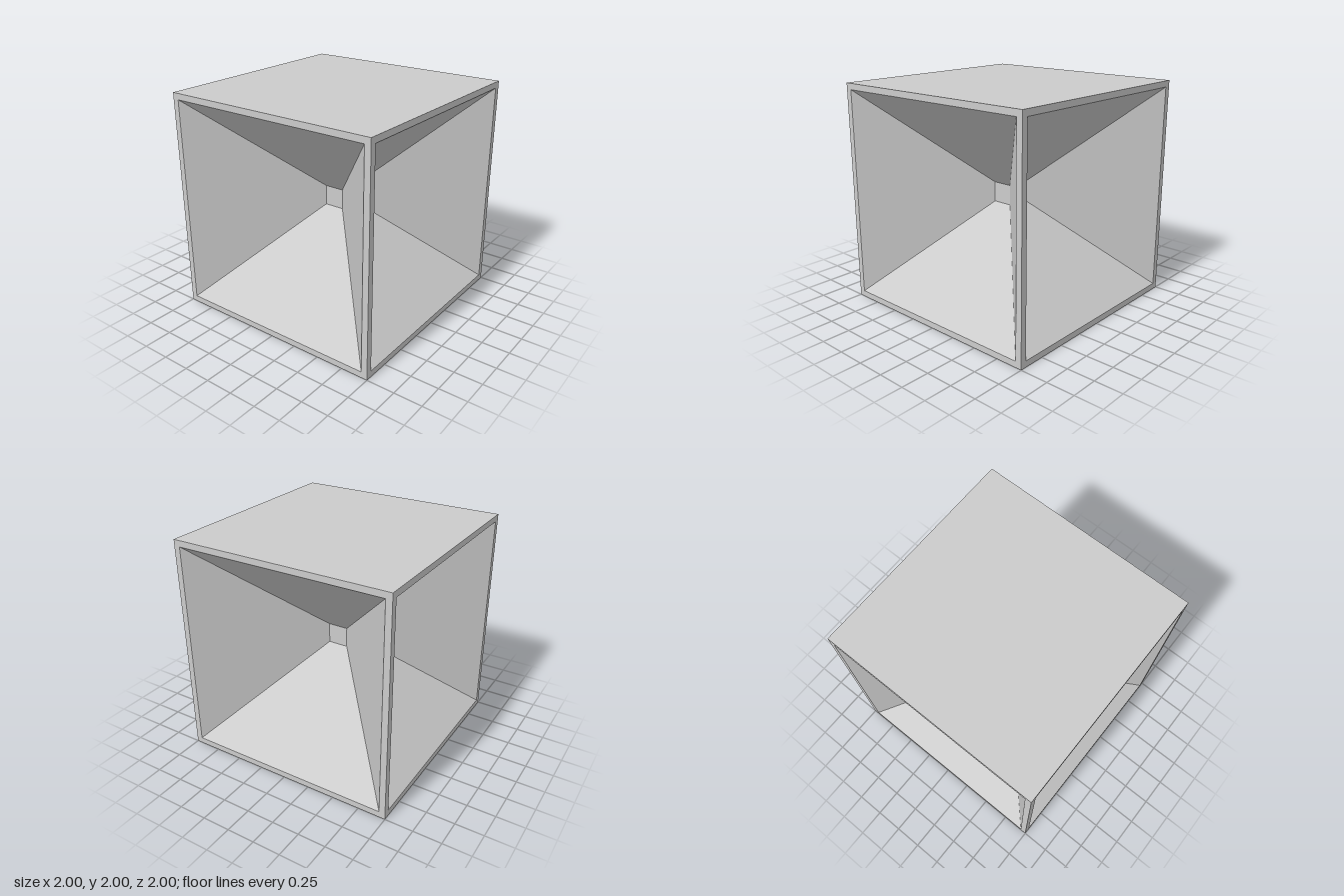
import * as THREE from 'three';

const HALF = 1;        // half the cube's side
const RIM = 0.945;     // half width of each recess opening
const FLOOR = 0.091;   // half width of the small floor of a recess
const FLOOR_Z = 0.104; // distance of that floor from the cube's centre

export function createModel() {
  const group = new THREE.Group();
  group.name = 'hollowedCube';
  const material = new THREE.MeshStandardMaterial({ color: 0xcccccc, flatShading: true });

  // Side face: a four-sided lathe running from the outer frame, down the
  // tapering walls, to the small square floor
  const profile = [[HALF, HALF], [RIM, HALF], [FLOOR, FLOOR_Z], [0, FLOOR_Z]]
    .map(([half, depth]) => new THREE.Vector2(half * Math.SQRT2, depth));
  const recess = new THREE.LatheGeometry(profile, 4, Math.PI / 4).rotateX(Math.PI / 2);

  ['frontRecess', 'leftRecess', 'backRecess', 'rightRecess'].forEach((name, i) => {
    const side = new THREE.Mesh(recess, material);
    side.name = name;
    side.position.y = HALF;
    side.rotation.y = i * Math.PI / 2;
    group.add(side);
  });

  // Plain top and bottom faces
  const square = new THREE.PlaneGeometry(2 * HALF, 2 * HALF);
  for (const [name, y, turn] of [['topFace', 2 * HALF, -1], ['bottomFace', 0, 1]]) {
    const face = new THREE.Mesh(square, material);
    face.name = name;
    face.position.y = y;
    face.rotation.x = turn * Math.PI / 2;
    group.add(face);
  }

  return group;
}
